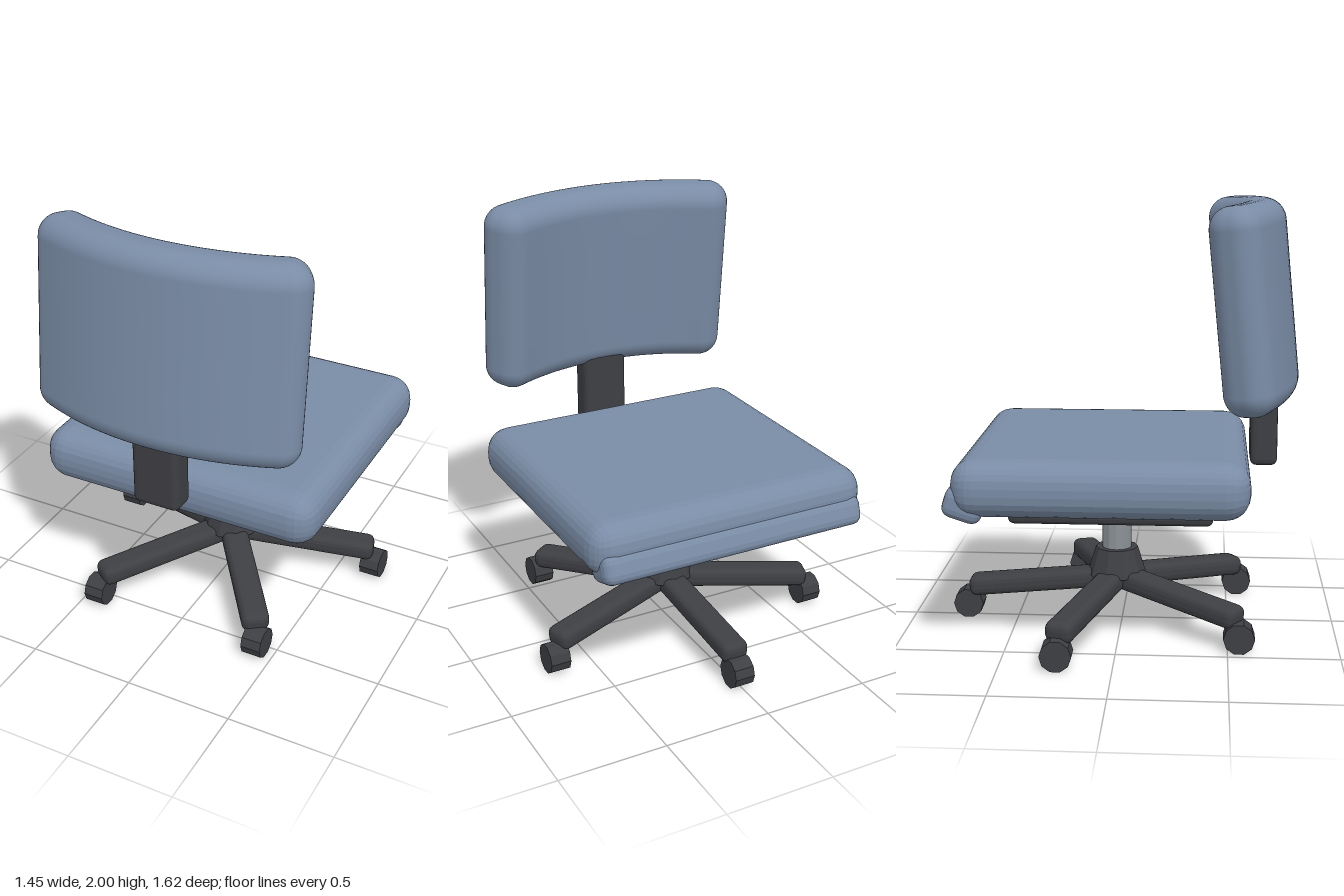
import * as THREE from 'three';
import { RoundedBoxGeometry } from 'three/addons/geometries/RoundedBoxGeometry.js';
import { mergeVertices } from 'three/addons/utils/BufferGeometryUtils.js';

const fabric = new THREE.MeshStandardMaterial({ color: 0x7a8ca6 });
const fabricFlat = new THREE.MeshStandardMaterial({ color: 0x7a8ca6, flatShading: true });
const plastic = new THREE.MeshStandardMaterial({ color: 0x3e3f43, flatShading: true });
const steel = new THREE.MeshStandardMaterial({ color: 0x8b9196, flatShading: true });

function add(parent, name, geometry, material, x = 0, y = 0, z = 0) {
  const mesh = new THREE.Mesh(geometry, material);
  mesh.name = name;
  mesh.position.set(x, y, z);
  parent.add(mesh);
  return mesh;
}

// Rounded slab, subdivided along its width and wrapped around a vertical axis at -z.
function bentCushion(w, h, d, r, bendRadius) {
  const k = 5; // segments in each rounded edge
  const size = [w, h, d];
  const segs = [2 * k + 24, 2 * k + 4, 2 * k + 1];
  let geo = new THREE.BoxGeometry(w, h, d, ...segs);
  geo.deleteAttribute('normal');
  geo.deleteAttribute('uv');
  geo = mergeVertices(geo);
  const pos = geo.attributes.position;
  for (let i = 0; i < pos.count; i++) {
    const core = new THREE.Vector3();
    const off = new THREE.Vector3();
    for (let a = 0; a < 3; a++) {
      const inner = size[a] / 2 - r;
      const n = segs[a];
      const j = Math.round((pos.getComponent(i, a) / size[a] + 0.5) * n);
      if (j < k) {
        core.setComponent(a, -inner);
        off.setComponent(a, -Math.tan(((k - j) / k) * Math.PI / 4));
      } else if (j > n - k) {
        core.setComponent(a, inner);
        off.setComponent(a, Math.tan(((j - n + k) / k) * Math.PI / 4));
      } else {
        core.setComponent(a, -inner + (2 * inner * (j - k)) / (n - 2 * k));
      }
    }
    const p = core.add(off.setLength(r));
    const angle = p.x / bendRadius;
    const reach = bendRadius + p.z;
    pos.setXYZ(i, reach * Math.sin(angle), p.y, reach * Math.cos(angle) - bendRadius);
  }
  geo.computeVertexNormals();
  return geo;
}

export function createModel() {
  const chair = new THREE.Group();
  chair.name = 'officeChair';
  const axisZ = -0.025; // swivel column position

  // Seat cushion with a drooping front lip
  add(chair, 'seat', new RoundedBoxGeometry(1.36, 0.255, 1.3, 3, 0.11), fabricFlat, 0, 0.777, -0.06);
  const lip = add(chair, 'seatLip', new RoundedBoxGeometry(1.29, 0.14, 0.18, 2, 0.045), fabricFlat, 0, 0.704, -0.65);
  lip.rotation.x = 0.32;
  add(chair, 'seatPlate', new RoundedBoxGeometry(0.96, 0.08, 0.91, 2, 0.03), plastic, 0, 0.625, axisZ);

  // Backrest and its upright
  const back = add(chair, 'backrest', bentCushion(1.27, 0.9, 0.235, 0.1, 1.2), fabric, 0, 1.549, 0.66);
  back.rotation.x = -0.1;
  add(chair, 'backSupport', new RoundedBoxGeometry(0.225, 0.55, 0.125, 2, 0.03), plastic, 0, 1.055, 0.658);

  // Swivel column and hub
  add(chair, 'column', new THREE.CylinderGeometry(0.07, 0.07, 0.34, 12), steel, 0, 0.44, axisZ);
  add(chair, 'hub', new THREE.CylinderGeometry(0.1, 0.14, 0.13, 10), plastic, 0, 0.29, axisZ);

  // Five sloping legs, each ending in a castor wheel
  const reach = 0.712;
  const legGeo = new RoundedBoxGeometry(0.13, 0.095, 0.72, 2, 0.035);
  const wheelGeo = new THREE.CylinderGeometry(0.071, 0.071, 0.096, 10);
  wheelGeo.rotateZ(Math.PI / 2);
  for (let i = 0; i < 5; i++) {
    const angle = Math.PI + (i * Math.PI * 2) / 5;
    const spoke = new THREE.Group();
    spoke.name = 'spoke' + (i + 1);
    spoke.position.z = axisZ;
    spoke.rotation.y = angle;
    chair.add(spoke);
    const leg = add(spoke, 'leg', legGeo, plastic, 0, 0.182, 0.35);
    leg.rotation.x = 0.09;
    add(chair, 'wheel' + (i + 1), wheelGeo, plastic,
      reach * Math.sin(angle), 0.0675, axisZ + reach * Math.cos(angle));
  }
  return chair;
}
